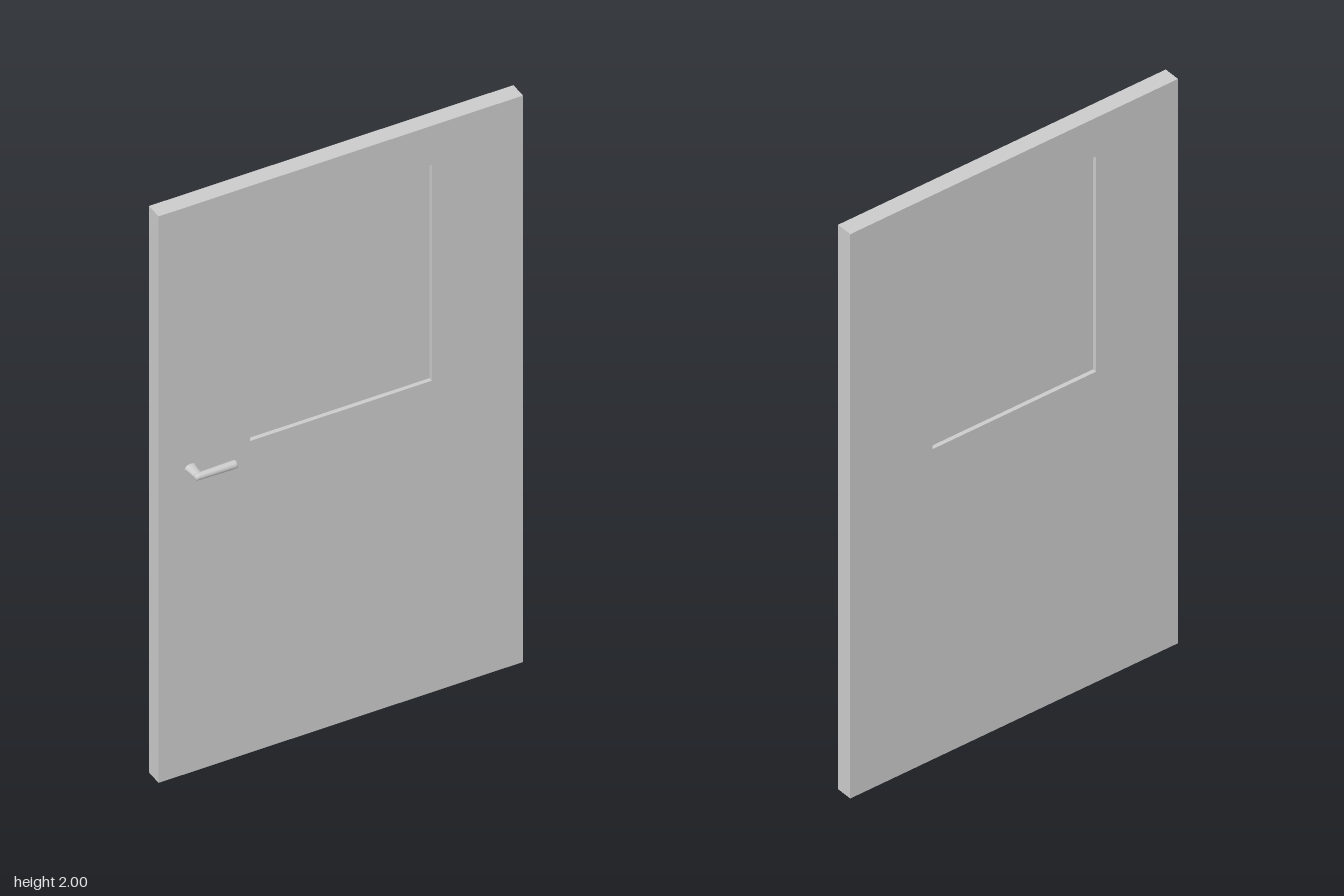
import * as THREE from 'three';

const material = new THREE.MeshStandardMaterial({ color: 0xcccccc });

function part(name, geometry, x = 0, y = 0, z = 0) {
  const mesh = new THREE.Mesh(geometry, material);
  mesh.name = name;
  mesh.position.set(x, y, z);
  return mesh;
}

function rectangle(target, x0, y0, x1, y1) {
  target.moveTo(x0, y0);
  target.lineTo(x1, y0);
  target.lineTo(x1, y1);
  target.lineTo(x0, y1);
  target.closePath();
  return target;
}

// Lathe from [radius, height] pairs
const lathe = (points) =>
  new THREE.LatheGeometry(points.map(([r, h]) => new THREE.Vector2(r, h)), 24);

export function createModel() {
  const model = new THREE.Group();
  model.name = 'door';

  const width = 1.173, thickness = 0.056, back = -0.058;
  const win = { x: 0.293, bottom: 1.1, top: 1.863 };

  // Door leaf with a window opening
  const outline = rectangle(new THREE.Shape(), -width / 2, 0, width / 2, 2);
  outline.holes.push(rectangle(new THREE.Path(), -win.x, win.bottom, win.x, win.top));
  const leaf = new THREE.ExtrudeGeometry(outline, { depth: thickness, bevelEnabled: false });
  model.add(part('doorLeaf', leaf, 0, 0, back));

  // Pane recessed on both faces
  const pane = new THREE.BoxGeometry(win.x * 2, win.top - win.bottom, thickness - 0.028);
  model.add(part('windowPane', pane, 0, (win.bottom + win.top) / 2, back + thickness / 2));

  // Lever handle on the front
  const handle = new THREE.Group();
  handle.name = 'handle';
  handle.position.set(-0.483, 1.076, 0);
  model.add(handle);

  // Neck: flares in width toward the door, constant height
  const neck = lathe([[0.02, -0.004], [0.0175, 0.006], [0.0155, 0.025], [0.014, 0.046], [0.011, 0.053], [0, 0.055]]);
  neck.rotateX(Math.PI / 2);
  neck.scale(1, 0.7, 1);
  neck.computeVertexNormals();
  handle.add(part('handleNeck', neck));

  // Grip: widens slightly toward its rounded free end
  const grip = lathe([
    [0, -0.0145], [0.007, -0.0135], [0.0105, -0.009], [0.011, 0],
    [0.012, 0.06], [0.013, 0.114], [0.0122, 0.119], [0.0095, 0.122], [0, 0.123],
  ]);
  grip.rotateZ(-Math.PI / 2);
  handle.add(part('handleGrip', grip, 0, 0, 0.0445));

  return model;
}
